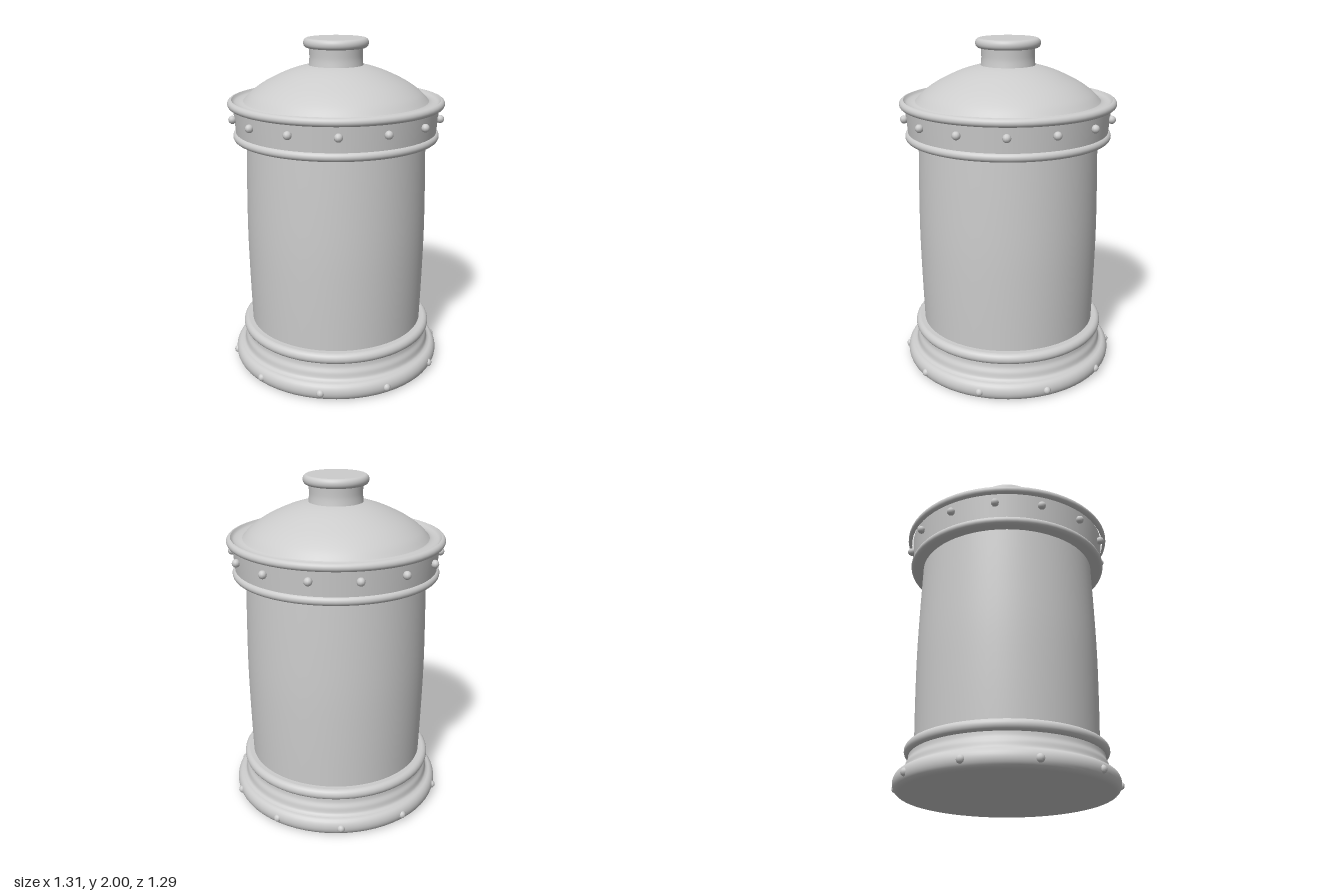
import * as THREE from 'three';

const SEGMENTS = 64;

export function createModel() {
  const model = new THREE.Group();
  model.name = 'liddedCanister';
  const grey = new THREE.MeshStandardMaterial({ color: 0xcccccc });
  grey.name = 'plain grey';

  const add = (name, geometry, parent = model) => {
    const mesh = new THREE.Mesh(geometry, grey);
    mesh.name = name;
    parent.add(mesh);
    return mesh;
  };

  // Turned part from [radius, height] points, listed bottom to top on the outside
  const turned = (name, points, smooth = false) => {
    let profile = points.map(([r, y]) => new THREE.Vector2(r, y));
    if (smooth) profile = new THREE.SplineCurve(profile).getPoints(24);
    return add(name, new THREE.LatheGeometry(profile, SEGMENTS));
  };

  // Rounded band of given outer radius between two heights
  const roll = (name, outer, bottom, top, depth) => {
    const mid = (bottom + top) / 2, half = (top - bottom) / 2;
    const points = [];
    for (let i = 0; i <= 12; i++) {
      const a = -Math.PI / 2 + (i / 12) * Math.PI;
      points.push([outer - depth + depth * Math.cos(a), mid + half * Math.sin(a)]);
    }
    turned(name, points);
  };

  const disc = (name, radius, y, faceUp) => {
    const mesh = add(name, new THREE.CircleGeometry(radius, SEGMENTS));
    mesh.rotation.x = faceUp ? -Math.PI / 2 : Math.PI / 2;
    mesh.position.y = y;
  };

  // Evenly spaced round studs
  const studs = (name, count, radius, y, start) => {
    const group = new THREE.Group();
    group.name = name;
    const ball = new THREE.SphereGeometry(0.024, 10, 8);
    for (let i = 0; i < count; i++) {
      const a = start + (i / count) * Math.PI * 2;
      add('stud', ball, group).position.set(radius * Math.cos(a), y, radius * Math.sin(a));
    }
    model.add(group);
  };

  // Foot
  disc('footUnderside', 0.605, 0, false);
  roll('footRoll', 0.642, 0, 0.105, 0.04);
  turned('footNeck', [[0.615, 0.1], [0.588, 0.115], [0.578, 0.15], [0.565, 0.18], [0.562, 0.215]], true);
  roll('footRing', 0.588, 0.205, 0.27, 0.03);
  turned('footLedge', [[0.56, 0.27], [0.53, 0.27]]);
  studs('footStuds', 10, 0.634, 0.05, -Math.PI / 30);

  // Slightly bulging body
  turned('body', [[0.532, 0.26], [0.54, 0.55], [0.544, 0.84], [0.54, 1.13], [0.532, 1.43]], true);

  // Lid band
  turned('lidUnderside', [[0.52, 1.42], [0.59, 1.42]]);
  roll('lidLowerRing', 0.61, 1.415, 1.465, 0.025);
  turned('lidBand', [[0.592, 1.45], [0.607, 1.62]]);
  roll('lidRim', 0.638, 1.607, 1.655, 0.024);
  studs('lidStuds', 14, 0.614, 1.55, 0);

  // Dome with a shallow groove behind the rim
  turned('lidGroove', [[0.615, 1.655], [0.598, 1.64], [0.57, 1.636], [0.545, 1.643], [0.53, 1.66]], true);
  turned('lidDome', [[0.545, 1.643], [0.5, 1.69], [0.42, 1.746], [0.31, 1.8], [0.22, 1.832], [0.15, 1.848]], true);

  // Knob
  turned('knobNeck', [[0.16, 1.84], [0.155, 1.89], [0.158, 1.955]], true);
  turned('knobUnderside', [[0.15, 1.945], [0.172, 1.945]]);
  roll('knobEdge', 0.19, 1.945, 2, 0.022);
  disc('knobTop', 0.17, 2, true);

  return model;
}
